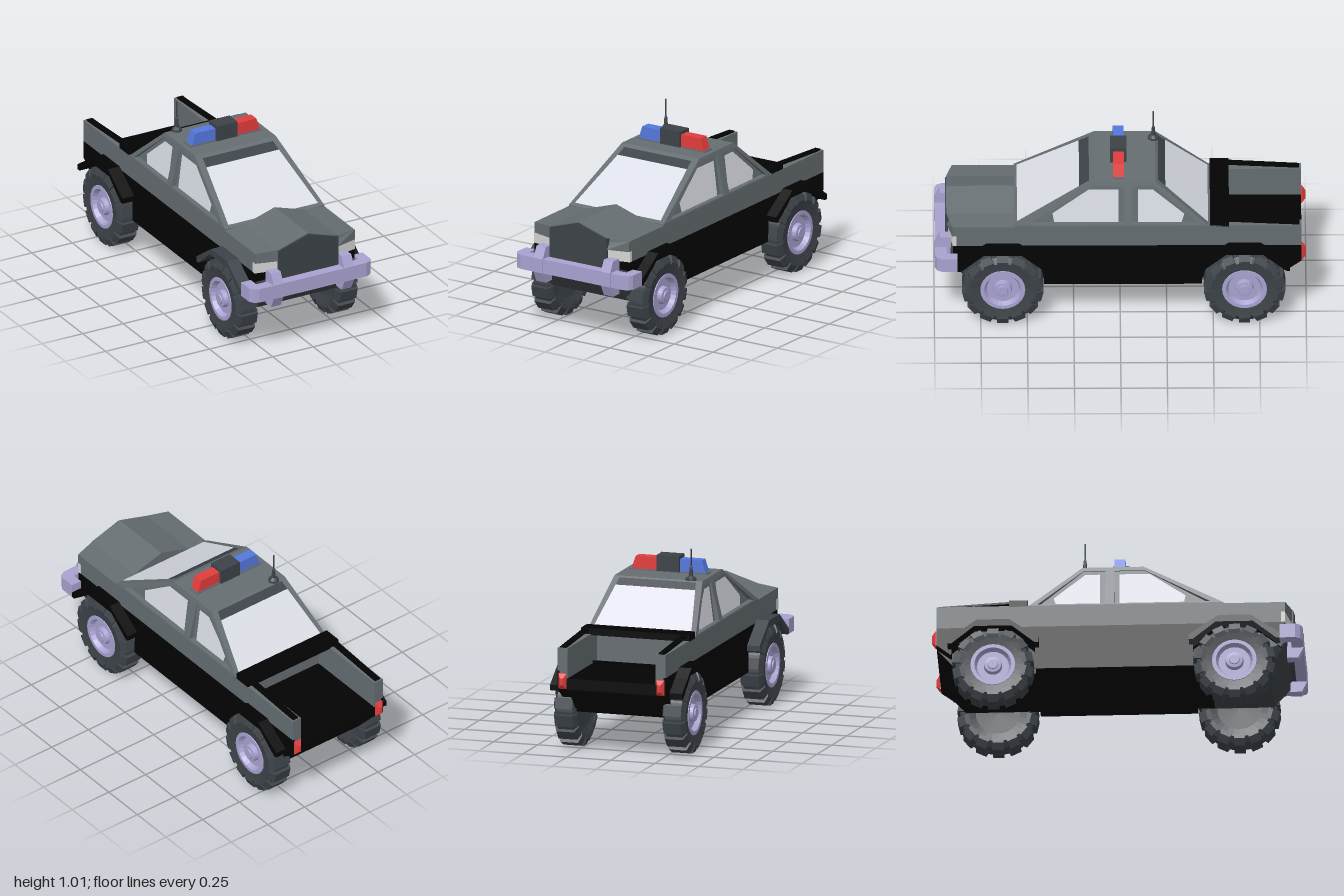
import * as THREE from 'three';
import { ConvexGeometry } from 'three/addons/geometries/ConvexGeometry.js';

const paint = (name, color, side = THREE.FrontSide) => {
  const m = new THREE.MeshStandardMaterial({ color, side });
  m.name = name;
  return m;
};

export function createModel() {
  const gray = paint('body gray', 0x656d71);
  const black = paint('trim black', 0x030303);
  const slate = paint('dark slate', 0x3c4248, THREE.DoubleSide);
  const lavender = paint('pale lavender metal', 0xa8a2d0);
  const glass = paint('window glass', 0xdfe1ea, THREE.DoubleSide);
  const lamp = paint('headlight', 0xd4d4d4);
  const red = paint('red light', 0xe23c3c);
  const blue = paint('blue light', 0x5577dc);

  const model = new THREE.Group();
  model.name = 'patrolPickup';
  const body = new THREE.Group();
  body.name = 'body';
  body.position.x = 0.004;
  model.add(body);

  const add = (name, geometry, material, parent = body) => {
    const mesh = new THREE.Mesh(geometry, material);
    mesh.name = name;
    parent.add(mesh);
    return mesh;
  };
  const flat = (g) => {
    const f = g.index ? g.toNonIndexed() : g;
    f.computeVertexNormals();
    return f;
  };
  // move each vertex by a rule
  const bend = (g, rule) => {
    const p = g.attributes.position, v = new THREE.Vector3();
    for (let i = 0; i < p.count; i++) {
      rule(v.fromBufferAttribute(p, i));
      p.setXYZ(i, v.x, v.y, v.z);
    }
    return flat(g);
  };
  // box given by its limits on each axis
  const box = (x0, x1, y0, y1, z0, z1) =>
    new THREE.BoxGeometry(x1 - x0, y1 - y0, z1 - z0).translate((x0 + x1) / 2, (y0 + y1) / 2, (z0 + z1) / 2);
  const shape = (pts) => new THREE.Shape(pts.map((p) => new THREE.Vector2(...p)));
  const extrude = (s, depth) => new THREE.ExtrudeGeometry(s, { depth, bevelEnabled: false });
  // [z, y] profile extruded across x, with optional holes
  const across = (pts, x0, x1, holes = []) => {
    const s = shape(pts);
    s.holes = holes.map(shape);
    return extrude(s, x1 - x0).rotateY(-Math.PI / 2).translate(x1, 0, 0);
  };
  // [x, y] profile extruded along z
  const along = (pts, z0, z1) => extrude(shape(pts), z1 - z0).translate(0, 0, z0);
  // [x, z] outline extruded upward
  const upward = (pts, y0, y1) =>
    extrude(shape(pts.map(([x, z]) => [x, -z])), y1 - y0).rotateX(-Math.PI / 2).translate(0, y0, 0);
  const hull = (pts) => new ConvexGeometry(pts.map((p) => new THREE.Vector3(...p)));
  // flat convex face through ordered 3D corners
  const panel = (pts) => {
    const v = [];
    for (let i = 1; i < pts.length - 1; i++) v.push(...pts[0], ...pts[i], ...pts[i + 1]);
    const g = new THREE.BufferGeometry();
    g.setAttribute('position', new THREE.Float32BufferAttribute(v, 3));
    g.computeVertexNormals();
    return g;
  };

  const W = 0.307, FRONT = 0.632, REAR = -0.668;

  // lower body with wheel openings, and a narrower core between the wheels
  const opening = (z) => [[z - 0.225, 0.345], [z - 0.1, 0.447], [z + 0.1, 0.447], [z + 0.225, 0.345]];
  add('lowerBody', across([
    [0.9, 0.47], [-0.48, 0.47], [-0.48, 0.43], [-0.975, 0.43], [-0.975, 0.37], [-0.895, 0.31],
    ...opening(REAR), [-0.44, 0.222], [0.41, 0.222], ...opening(FRONT), [0.88, 0.32], [0.9, 0.36],
  ], -W, W), black);
  add('underbody', across([
    [0.5, 0.222], [0.5, 0.46], [-0.47, 0.46], [-0.47, 0.428], [-0.97, 0.428], [-0.97, 0.365], [-0.84, 0.222],
  ], -0.245, 0.245), black);
  add('engineBay', box(-0.245, 0.245, 0.345, 0.46, 0.45, 0.9), black);
  add('frontChin', hull([-1, 1].flatMap((s) => [
    [s * 0.247, 0.222, 0.5], [s * 0.247, 0.222, 0.82], [s * 0.247, 0.42, 0.5],
    [s * 0.305, 0.35, 0.904], [s * 0.305, 0.42, 0.904], [s * 0.185, 0.35, 0.92], [s * 0.185, 0.42, 0.92],
  ])), slate);

  // upper body, nose with slightly swept-back corners, hood and grille
  add('upperBody', box(-W, W, 0.47, 0.595, -0.48, 0.57), gray);
  const nose = [[-W, 0.57], [-W, 0.895], [-0.185, 0.922], [0.185, 0.922], [W, 0.895], [W, 0.57]];
  add('frontWings', upward(nose, 0.47, 0.56), gray);
  const hood = along([
    [-W, 0.53], [-0.185, 0.53], [0, 0.53], [0.185, 0.53], [W, 0.53], [W, 0.588],
    [0.185, 0.597], [0, 0.655], [-0.185, 0.597], [-W, 0.588],
  ], 0.57, 0.935);
  add('hood', bend(hood, (v) => { if (v.z > 0.9 && Math.abs(v.x) > 0.3) v.z = 0.903; }), gray);
  add('grille', along([[-0.185, 0.345], [0.185, 0.345], [0.185, 0.592], [0, 0.65], [-0.185, 0.592]], 0.88, 0.941), slate);

  // cab core, with sloping side frames standing proud around the windows
  const cabProfile = [[0.57, 0.595], [0.14, 0.84], [-0.19, 0.84], [-0.475, 0.595]];
  add('cab', hull([-1, 1].flatMap((s) => cabProfile.map(([z, y]) => [s * (y > 0.7 ? 0.246 : 0.277), y, z]))), gray);
  const windowHoles = [
    [[0.5, 0.602], [-0.018, 0.602], [-0.018, 0.816], [0.145, 0.816]],
    [[-0.067, 0.602], [-0.43, 0.602], [-0.185, 0.816], [-0.067, 0.816]],
  ];
  const panes = {
    frontSideWindow: [[0.355, 0.602], [0.01, 0.602], [0.01, 0.795], [0.17, 0.795], [0.365, 0.655]],
    rearSideWindow: [[-0.095, 0.602], [-0.33, 0.602], [-0.345, 0.65], [-0.175, 0.795], [-0.095, 0.795]],
  };
  for (const s of [1, -1]) {
    const frame = across(cabProfile, s > 0 ? W - 0.034 : -W, s > 0 ? W : 0.034 - W, windowHoles);
    add('sideWindowFrame', bend(frame, (v) => { v.x -= s * (v.y - 0.595) * 0.233; }), gray);
    for (const [name, pts] of Object.entries(panes)) {
      const p = pts.map(([z, y]) => [s * (0.28 - (y - 0.595) * 0.1265), y, z]);
      add(name, panel(s > 0 ? p : p.reverse()), glass);
    }
  }

  // windshield and rear window, each with a dark band on top
  const endPane = (z0, z1, t0, w0, t1, w1) => {
    const n = new THREE.Vector2(0.245 * Math.sign(z0), Math.abs(z1 - z0)).setLength(0.004);
    const at = (x, t) => [x, 0.595 + 0.245 * t + n.y, z0 + (z1 - z0) * t + n.x];
    const pts = [at(-w0, t0), at(w0, t0), at(w1, t1), at(-w1, t1)];
    return panel(z0 > 0 ? pts : pts.reverse());
  };
  add('windshield', endPane(0.57, 0.14, 0.04, 0.277, 0.816, 0.224), glass);
  add('windshieldBand', endPane(0.57, 0.14, 0.816, 0.224, 0.94, 0.216), slate);
  add('rearWindow', endPane(-0.475, -0.19, 0.02, 0.28, 0.825, 0.226), glass);
  add('rearWindowBand', endPane(-0.475, -0.19, 0.825, 0.226, 0.96, 0.217), slate);

  // parts mirrored left and right: bed, lights, bumper guards
  for (const s of [1, -1]) {
    const sideBox = (a, b, ...rest) => (s > 0 ? box(a, b, ...rest) : box(-b, -a, ...rest));
    const sideAcross = (pts, a, b) => (s > 0 ? across(pts, a, b) : across(pts, -b, -a));
    add('bedSide', sideBox(0.25, W, 0.47, 0.595, -0.975, -0.48), gray);
    add('bedInnerWall', sideBox(0.25, 0.295, 0.43, 0.47, -0.975, -0.48), gray);
    add('bedLowerSide', sideBox(0.295, W, 0.43, 0.47, -0.975, -0.48), black);
    add('bedRail', sideAcross([[-0.57, 0.613], [-0.57, 0.625], [-0.965, 0.602], [-0.965, 0.593]], 0.262, 0.296), black);
    add('tailLight', hull([
      ...[0.255, 0.3].flatMap((x) => [[s * x, 0.372, -0.974], [s * x, 0.456, -0.974], [s * x, 0.372, -0.98], [s * x, 0.456, -0.98]]),
      ...[0.27, 0.285].flatMap((x) => [[s * x, 0.395, -1], [s * x, 0.432, -1]]),
    ]), red);
    const lens = [[W + 0.003, 0.88], [W + 0.003, 0.901], [0.185, 0.927], [0.185, 0.9]];
    add('headlight', upward(lens.map(([x, z]) => [s * x, z]), 0.472, 0.53), lamp);
    add('bumperGuard', sideAcross([
      [0.91, 0.285], [0.97, 0.285], [1, 0.345], [1, 0.425], [0.97, 0.485], [0.91, 0.485],
    ], 0.188, 0.248), lavender);
  }
  add('bedFrontWall', box(-0.25, 0.25, 0.43, 0.595, -0.484, -0.47), gray);
  add('bedCrossbar', box(-W, W, 0.59, 0.627, -0.585, -0.483), black);

  // wraparound front bumper
  add('frontBumper', upward([
    [-0.375, 0.875], [-0.375, 0.96], [-0.36, 0.985], [-0.33, 0.998], [0.33, 0.998], [0.36, 0.985], [0.375, 0.96],
    [0.375, 0.875], [0.315, 0.875], [0.315, 0.935], [-0.315, 0.935], [-0.315, 0.875],
  ], 0.345, 0.425), lavender, model);

  // fenders
  const fender = (z, s) => across([
    [z - 0.245, 0.345], ...opening(z), [z + 0.245, 0.345], [z + 0.245, 0.375],
    [z + 0.15, 0.44], [z + 0.087, 0.485], [z - 0.087, 0.485], [z - 0.15, 0.44], [z - 0.245, 0.375],
  ], s > 0 ? 0.27 : -0.375, s > 0 ? 0.375 : -0.27);
  add('frontLeftFender', fender(FRONT, 1), black, model);
  add('frontRightFender', fender(FRONT, -1), slate, model);
  add('rearLeftFender', fender(REAR, 1), black, model);
  add('rearRightFender', fender(REAR, -1), black, model);

  // wheels, axle along x with the hub facing +x
  const turned = (pts, n) =>
    flat(new THREE.LatheGeometry(pts.map((p) => new THREE.Vector2(...p)), n)).rotateZ(-Math.PI / 2);
  const tireGeo = turned([
    [0.001, -0.045], [0.12, -0.05], [0.17, -0.064], [0.203, -0.045], [0.203, 0.045], [0.17, 0.064], [0.12, 0.056],
  ], 28);
  const rimGeo = turned([
    [0.124, 0.05], [0.12, 0.06], [0.1, 0.06], [0.086, 0.034], [0.05, 0.034], [0.045, 0.06],
    [0.028, 0.062], [0.026, 0.068], [0.001, 0.068],
  ], 24);
  const lugGeo = along([
    [-0.062, 0.155], [0.062, 0.155], [0.067, 0.18], [0.05, 0.218], [-0.05, 0.218], [-0.067, 0.18],
  ], -0.03, 0.03);
  for (const z of [FRONT, REAR]) for (const s of [1, -1]) {
    const wheel = new THREE.Group();
    wheel.name = (z > 0 ? 'front' : 'rear') + (s > 0 ? 'Left' : 'Right') + 'Wheel';
    add('tire', tireGeo, slate, wheel);
    add('rim', rimGeo, lavender, wheel);
    for (let i = 0; i < 14; i++) add('treadLug', lugGeo, slate, wheel).rotation.x = (i * Math.PI) / 7;
    wheel.position.set(s * 0.308, 0.221, z);
    if (s < 0) wheel.rotation.y = Math.PI;
    model.add(wheel);
  }

  // roof light bar
  add('lightBarBase', box(-0.22, 0.22, 0.838, 0.847, -0.025, 0.04), gray);
  add('lightBarCenter', box(-0.064, 0.064, 0.845, 0.932, -0.036, 0.053), slate);
  const beacon = (s) => along([[s * 0.06, 0.847], [s * 0.21, 0.847], [s * 0.188, 0.915], [s * 0.06, 0.915]], -0.02, 0.038);
  add('blueBeacon', beacon(-1), blue);
  add('redBeacon', beacon(1), red);

  // antenna
  add('antenna', flat(new THREE.LatheGeometry([
    [0.03, 0], [0.028, 0.012], [0.012, 0.024], [0.008, 0.07], [0.004, 0.08], [0.004, 0.172], [0.0005, 0.174],
  ].map((p) => new THREE.Vector2(...p)), 10)).translate(-0.181, 0.84, -0.18), slate);

  return model;
}
